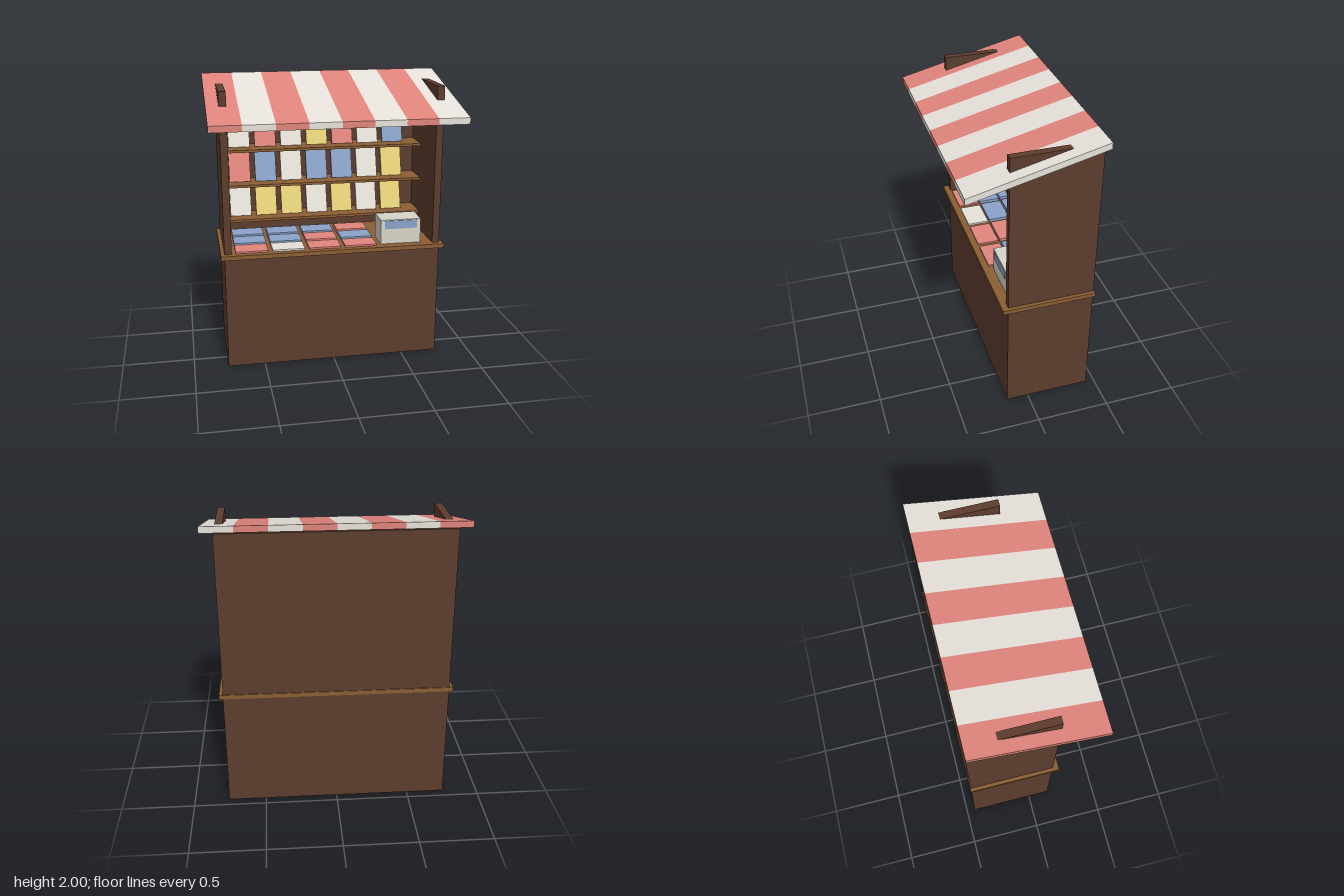
import * as THREE from 'three';

const mat = (name, color, side = THREE.FrontSide) => {
  const m = new THREE.MeshStandardMaterial({ color, side });
  m.name = name;
  return m;
};

export function createModel() {
  const stall = new THREE.Group();
  stall.name = 'marketStall';

  const M = {
    timber: mat('darkTimber', 0x5c3d2e),
    plank: mat('plankWood', 0x8b5e34),
    W: mat('cream', 0xe6e2da),
    R: mat('softRed', 0xe0857c),
    B: mat('softBlue', 0x8aa2c8),
    Y: mat('softYellow', 0xe6d27a),
    till: mat('tillGrey', 0xd8d4c8),
  };

  // Box given by its limits on each axis
  function box(name, material, [x0, x1], [y0, y1], [z0, z1], parent = stall) {
    const mesh = new THREE.Mesh(new THREE.BoxGeometry(x1 - x0, y1 - y0, z1 - z0), material);
    mesh.position.set((x0 + x1) / 2, (y0 + y1) / 2, (z0 + z1) / 2);
    mesh.name = name;
    parent.add(mesh);
    return mesh;
  }

  // Base, counter and cabinet walls
  box('base', M.timber, [-0.76, 0.76], [0, 0.815], [-0.44, 0.15]);
  box('counter', M.plank, [-0.785, 0.785], [0.81, 0.84], [-0.445, 0.19]);
  box('backWall', M.timber, [-0.71, 0.71], [0.84, 1.95], [-0.44, -0.42]);
  for (const s of [-1, 1]) {
    const xs = s < 0 ? [-0.76, -0.71] : [0.71, 0.76];
    box('sideWall', M.timber, xs, [0.84, 1.95], [-0.44, 0.15]);
  }

  // Shelves
  const shelfTops = [0.975, 1.23, 1.485, 1.74];
  for (const y of shelfTops) {
    box('shelf', M.plank, [-0.71, 0.71], [y - 0.018, y], [-0.42, -0.2]);
  }

  // Books leaning back on the shelves, lowest row first
  const lean = 0.3;
  const bookGeometry = new THREE.BoxGeometry(0.152, 0.222, 0.025);
  bookGeometry.translate(0, 0.111, -0.0125);
  ['WYYWYWY', 'RBWBBWY', 'WRWYRWB'].forEach((row, r) => {
    [...row].forEach((c, i) => {
      const book = new THREE.Mesh(bookGeometry, M[c]);
      book.name = 'book';
      book.rotation.x = -lean;
      book.position.set(-0.606 + i * 0.187, shelfTops[r] + 0.004, -0.29);
      stall.add(book);
    });
  });

  // Magazines in rows on the counter, front row first
  ['RWRR', 'BBRB', 'BBBR'].forEach((row, r) => {
    const z = 0.07 - r * 0.16;
    [...row].forEach((c, i) => {
      const x = -0.57 + i * 0.255;
      box('magazine', M[c], [x - 0.112, x + 0.112], [0.84, 0.852 + r * 0.009], [z - 0.075, z + 0.075]);
    });
  });

  // Cash till with a display plate
  const till = new THREE.Group();
  till.name = 'cashTill';
  stall.add(till);
  box('tillBody', M.till, [0.342, 0.63], [0.84, 1.015], [-0.06, 0.12], till);
  box('tillDisplay', M.B, [0.37, 0.602], [0.95, 1.01], [0.12, 0.126], till);

  // Striped sloping awning: boxes sheared so the ends stay vertical
  const awning = new THREE.Group();
  awning.name = 'awning';
  stall.add(awning);
  const width = 1.69 / 8;
  const stripe = new THREE.BoxGeometry(width, 0.043, 0.885);
  const p = stripe.attributes.position;
  for (let i = 0; i < p.count; i++) p.setY(i, p.getY(i) - p.getZ(i) * 0.245);
  stripe.computeVertexNormals();
  for (let i = 0; i < 8; i++) {
    const mesh = new THREE.Mesh(stripe, i % 2 ? M.W : M.R);
    mesh.name = 'awningStripe';
    mesh.position.set(-0.845 + (i + 0.5) * width, 1.87, 0);
    awning.add(mesh);
  }

  return stall;
}
